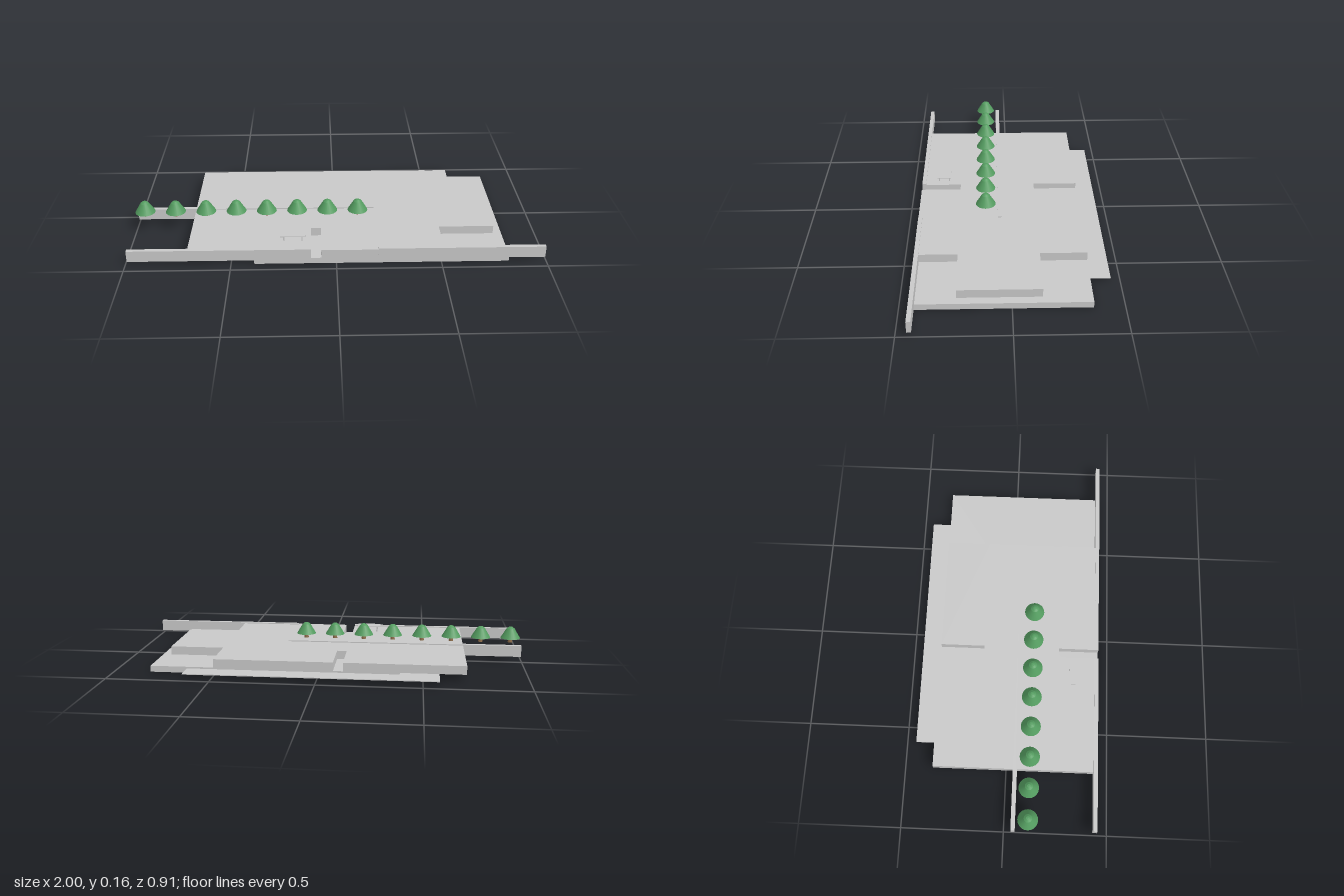
import * as THREE from 'three';

const concrete = new THREE.MeshStandardMaterial({ color: 0xc8c8c8 });
concrete.name = 'concreteGrey';
const foliage = new THREE.MeshStandardMaterial({ color: 0x549c60 });
foliage.name = 'foliageGreen';
const bark = new THREE.MeshStandardMaterial({ color: 0x8a6a48 });
bark.name = 'barkBrown';

// Box given by its min and max on each axis
function block(name, x0, x1, y0, y1, z0, z1) {
  const mesh = new THREE.Mesh(new THREE.BoxGeometry(x1 - x0, y1 - y0, z1 - z0), concrete);
  mesh.position.set((x0 + x1) / 2, (y0 + y1) / 2, (z0 + z1) / 2);
  mesh.name = name;
  return mesh;
}

// Upper deck outline in plan (x, z), with two slots and a stepped right end
function createDeck() {
  const outline = [
    [-0.705, 0.45], [-0.12, 0.45], [-0.12, 0.247], [-0.072, 0.247], [-0.072, 0.45],
    [0.51, 0.45], [0.51, 0.247], [0.78, 0.247], [0.78, -0.137], [0.51, -0.137],
    [0.51, -0.36], [-0.072, -0.36], [-0.072, -0.137], [-0.12, -0.137], [-0.12, -0.36],
    [-0.705, -0.36],
  ];
  const shape = new THREE.Shape(outline.map(([x, z]) => new THREE.Vector2(x, -z)));
  const geometry = new THREE.ExtrudeGeometry(shape, { depth: 0.042, bevelEnabled: false });
  geometry.rotateX(-Math.PI / 2);
  const deck = new THREE.Mesh(geometry, concrete);
  deck.position.y = 0.03;
  deck.name = 'upperDeck';
  return deck;
}

function createTable() {
  const table = new THREE.Group();
  table.name = 'table';
  table.add(block('tableTop', -0.268, -0.145, 0.097, 0.1, 0.3, 0.37));
  for (const x of [-0.25, -0.163]) {
    for (const z of [0.308, 0.362]) {
      table.add(block('tableLeg', x - 0.003, x + 0.003, 0.072, 0.097, z - 0.003, z + 0.003));
    }
  }
  return table;
}

function createTree(x) {
  const tree = new THREE.Group();
  tree.name = 'tree';
  const trunk = new THREE.Mesh(new THREE.CylinderGeometry(0.008, 0.012, 0.025, 12), bark);
  trunk.position.y = 0.0895;
  trunk.name = 'trunk';
  // Separate profile pieces keep the rim and the shoulder crisp
  const crown = new THREE.Group();
  crown.name = 'crown';
  const rings = [[0, 0.1], [0.05, 0.1], [0.02, 0.15], [0.009, 0.158], [0, 0.159]];
  for (let i = 0; i < rings.length - 1; i++) {
    const points = [rings[i], rings[i + 1]].map(([r, y]) => new THREE.Vector2(r, y));
    const band = new THREE.Mesh(new THREE.LatheGeometry(points, 20), foliage);
    band.name = 'crownBand';
    crown.add(band);
  }
  tree.add(trunk, crown);
  tree.position.set(x, 0, 0.115);
  return tree;
}

export function createModel() {
  const model = new THREE.Group();
  model.name = 'terrace';

  // Stacked slabs and the thin sheet running out at the back
  model.add(block('lowerSlab', -0.39, 0.822, 0, 0.03, -0.36, 0.45));
  model.add(createDeck());
  model.add(block('backSheet', -0.578, 0.64, 0.018, 0.022, -0.455, 0.36));

  // Low walls along the front and the kerb beside the trees
  model.add(block('frontWallRight', -0.99, -0.12, 0.02, 0.077, 0.43, 0.4505));
  model.add(block('frontWallLeft', 0.2, 0.995, 0.02, 0.077, 0.43, 0.4505));
  model.add(block('kerb', -1, 0.2, 0.02, 0.077, 0.034, 0.055));

  model.add(createTable());
  for (let i = 0; i < 8; i++) model.add(createTree(-0.95 + i * 0.152));
  return model;
}
